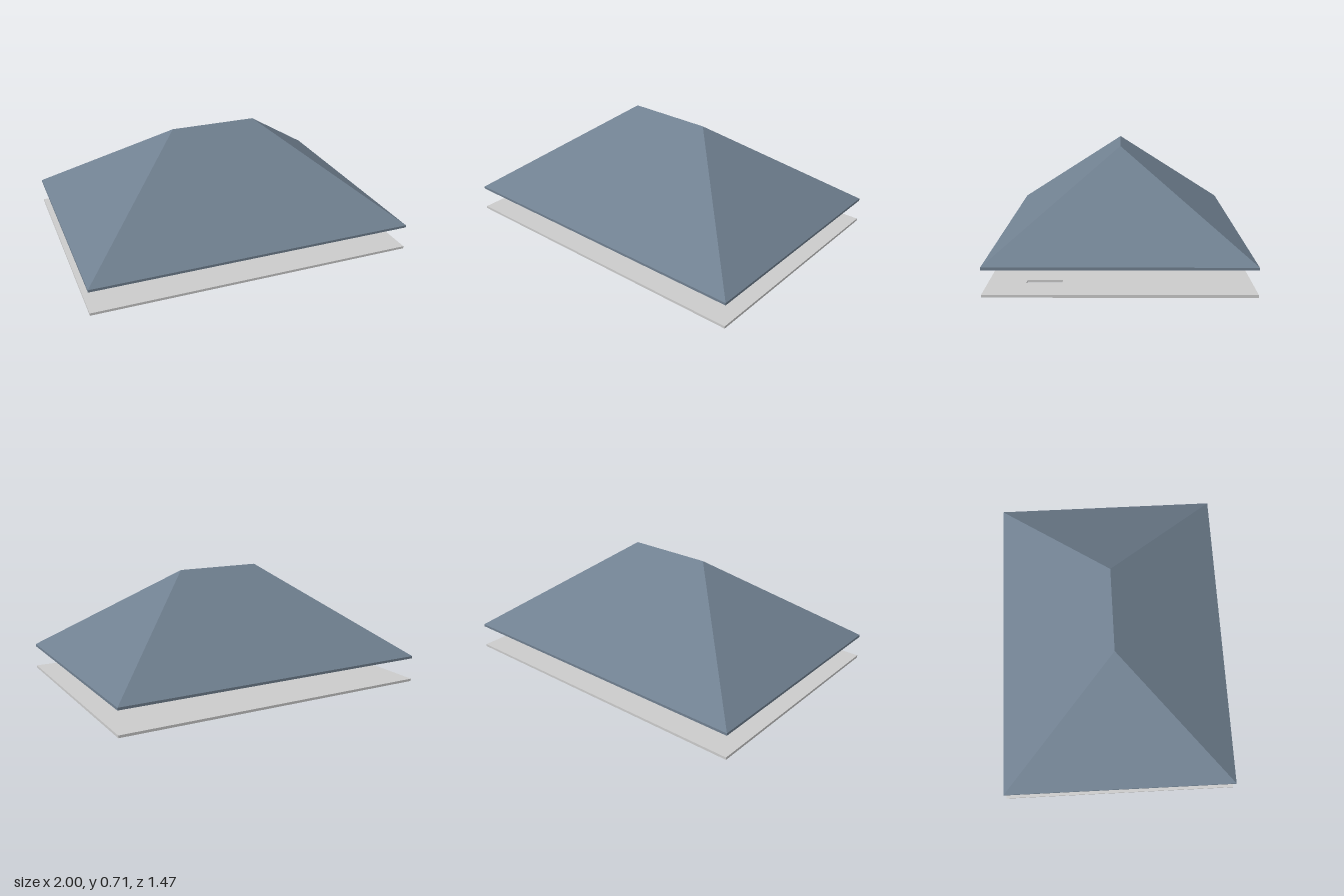
import * as THREE from 'three';

const HALF_X = 1, HALF_Z = 0.733, RIDGE = 0.267, SHEET = 0.015;

// Lofts rectangular loops [halfX, y, halfZ] into flat faces, dropping zero-area triangles.
function loftRectangles(loops) {
  const signs = [[1, 1], [1, -1], [-1, -1], [-1, 1]];
  const corner = ([hx, y, hz], i) => {
    const [sx, sz] = signs[i % 4];
    return new THREE.Vector3(sx * hx, y, sz * hz);
  };
  const points = [];
  for (let k = 0; k < loops.length - 1; k++) {
    for (let i = 0; i < 4; i++) {
      const a = corner(loops[k], i), b = corner(loops[k], i + 1);
      const c = corner(loops[k + 1], i + 1), d = corner(loops[k + 1], i);
      for (const tri of [[a, b, c], [a, c, d]]) {
        if (new THREE.Triangle(...tri).getArea() > 1e-6) points.push(...tri);
      }
    }
  }
  const geometry = new THREE.BufferGeometry().setFromPoints(points);
  geometry.computeVertexNormals();
  return geometry;
}

function rectangle(path, cx, cy, hx, hy) {
  path.moveTo(cx - hx, cy - hy);
  path.lineTo(cx + hx, cy - hy);
  path.lineTo(cx + hx, cy + hy);
  path.lineTo(cx - hx, cy + hy);
  path.closePath();
  return path;
}

export function createModel() {
  const model = new THREE.Group();
  model.name = 'hippedRoofWithCeiling';

  // Hollow hipped roof: inner ridge, eave underside, eave top, outer ridge
  const eave = 0.15, ridge = 0.714;
  const roof = new THREE.Mesh(
    loftRectangles([
      [RIDGE, ridge - SHEET, 0],
      [HALF_X, eave, HALF_Z],
      [HALF_X, eave + SHEET, HALF_Z],
      [RIDGE, ridge, 0],
    ]),
    new THREE.MeshStandardMaterial({ color: 0x708090, flatShading: true })
  );
  roof.name = 'roof';
  model.add(roof);

  // Ceiling panel with two slots near the front corners
  const outline = rectangle(new THREE.Shape(), 0, 0, HALF_X, HALF_Z);
  for (const side of [-1, 1]) {
    outline.holes.push(rectangle(new THREE.Path(), side * 0.76, -0.42, 0.028, 0.1));
  }
  const panel = new THREE.ExtrudeGeometry(outline, { depth: SHEET, bevelEnabled: false });
  panel.rotateX(-Math.PI / 2);
  const ceiling = new THREE.Mesh(
    panel,
    new THREE.MeshStandardMaterial({ color: 0xcccccc, flatShading: true })
  );
  ceiling.name = 'ceilingPanel';
  model.add(ceiling);

  return model;
}
